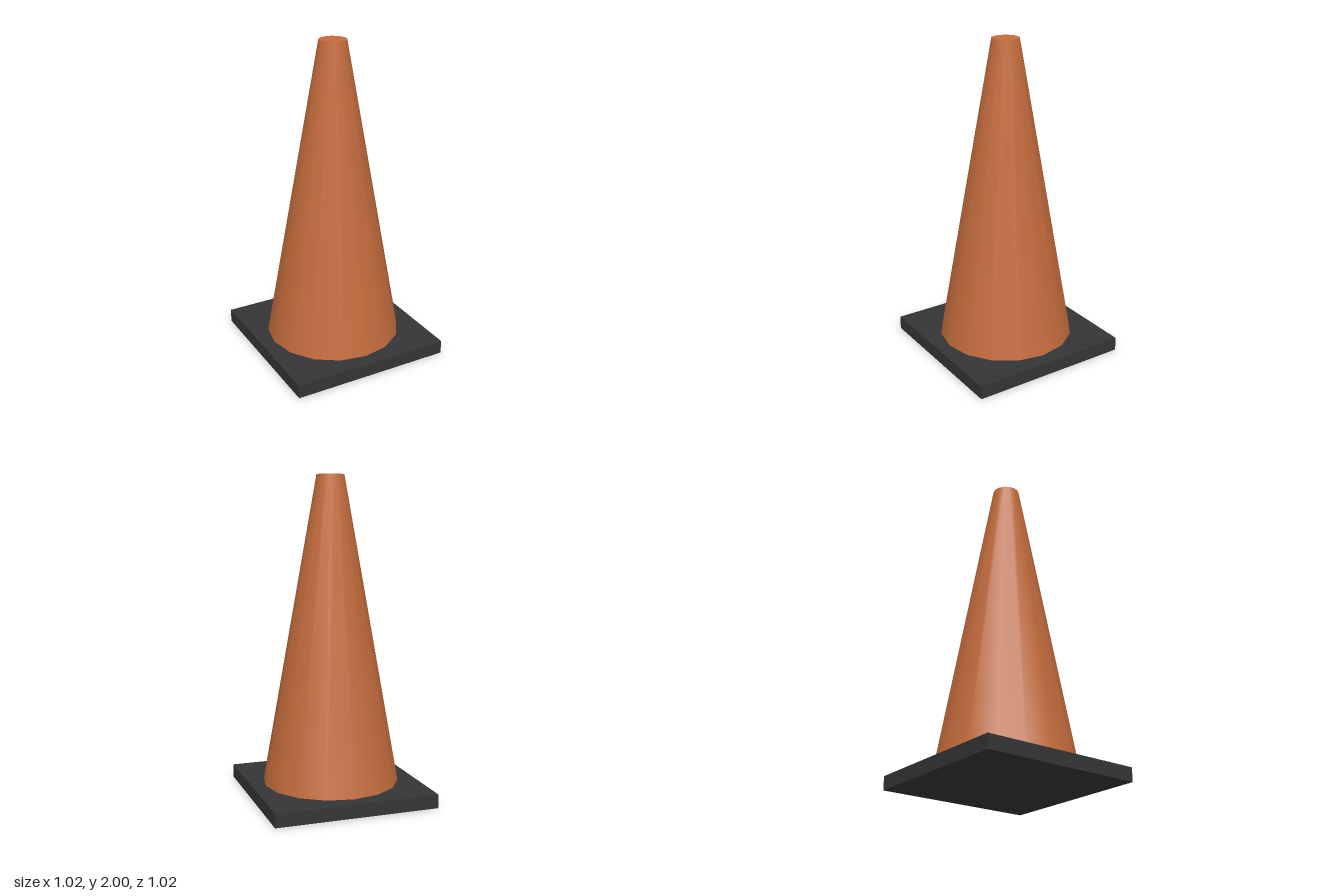
import * as THREE from 'three';

export function createModel() {
  const group = new THREE.Group();
  group.name = 'trafficCone';

  const baseSize = 1.024;
  const baseHeight = 0.086;
  const coneHeight = 2 - baseHeight;

  // Square rubber foot
  const base = new THREE.Mesh(
    new THREE.BoxGeometry(baseSize, baseHeight, baseSize),
    new THREE.MeshStandardMaterial({ color: 0x333537 })
  );
  base.name = 'base';
  base.position.y = baseHeight / 2;
  group.add(base);

  // Smooth-shaded 16-sided tapered body with a flat closed tip
  const body = new THREE.Mesh(
    new THREE.CylinderGeometry(0.085, 0.427, coneHeight, 16),
    new THREE.MeshStandardMaterial({ color: 0xc46c3c })
  );
  body.name = 'coneBody';
  body.position.y = baseHeight + coneHeight / 2;
  group.add(body);

  return group;
}
